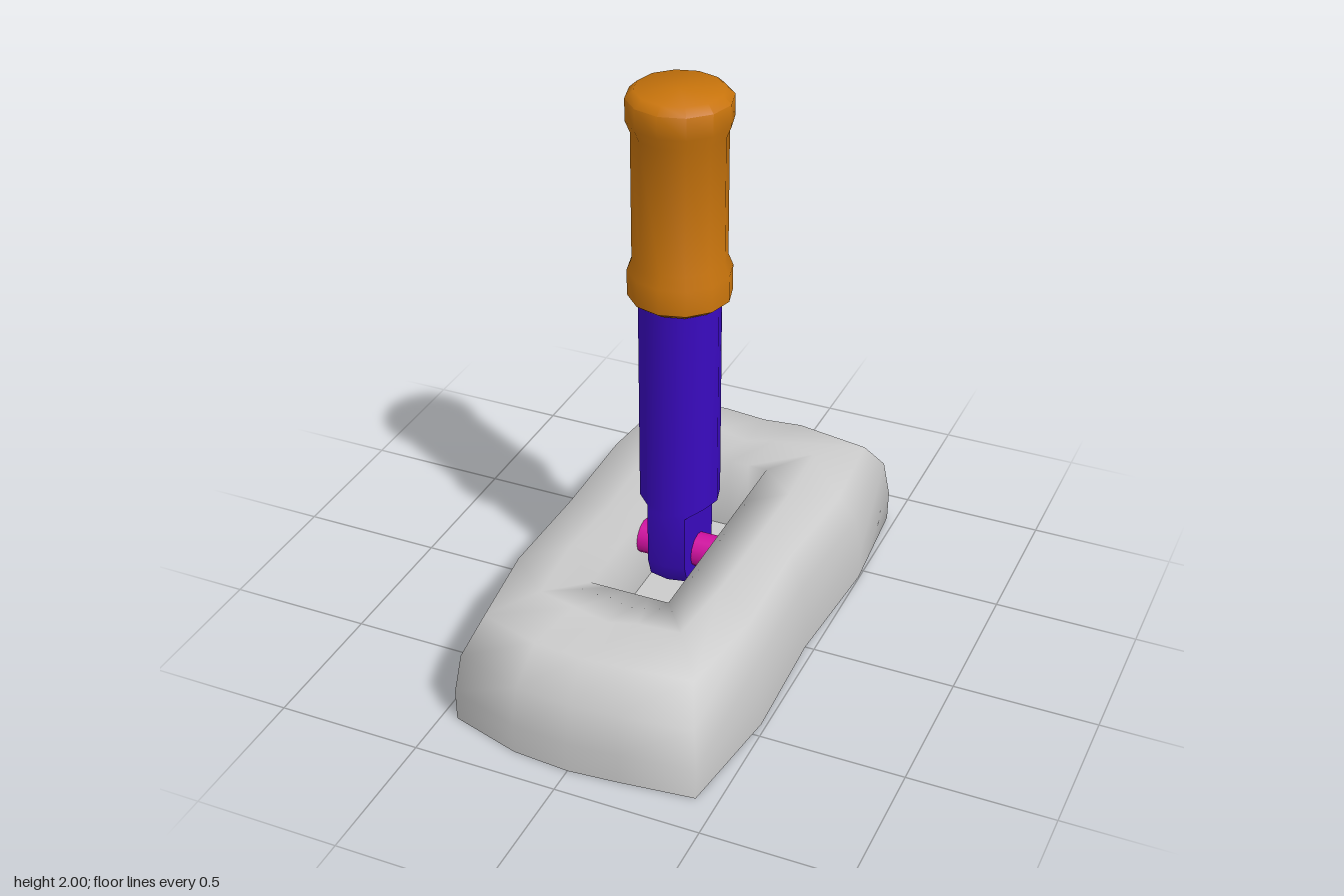
import * as THREE from 'three';
import { toCreasedNormals } from 'three/addons/utils/BufferGeometryUtils.js';

const stone = new THREE.MeshStandardMaterial({ color: 0xcccccc });
const purple = new THREE.MeshStandardMaterial({ color: 0x3a0ac0 });
const orange = new THREE.MeshStandardMaterial({ color: 0xc8740c });
const magenta = new THREE.MeshStandardMaterial({ color: 0xd010a0 });

// Skin a list of closed rings, each an array of [x, y, z]
function loft(rings) {
  const n = rings[0].length;
  const index = [];
  for (let r = 0; r < rings.length - 1; r++) {
    for (let i = 0; i < n; i++) {
      const j = (i + 1) % n;
      const a = r * n + i, b = r * n + j;
      index.push(a, a + n, b, b, a + n, b + n);
    }
  }
  const g = new THREE.BufferGeometry();
  g.setAttribute('position', new THREE.Float32BufferAttribute(rings.flat(2), 3));
  g.setIndex(index);
  g.computeVertexNormals();
  return g;
}

function part(name, geometry, material) {
  const m = new THREE.Mesh(geometry, material);
  m.name = name;
  return m;
}

// Uneven stone outline seen from above, [x, z]
const outline = [
  [-0.46, -0.85], [-0.19, -0.91], [0, -0.89], [0.16, -0.91],
  [0.47, -0.855], [0.5, -0.46], [0.47, 0], [0.485, 0.44],
  [0.43, 0.86], [0.17, 0.89], [0, 0.905], [-0.2, 0.89],
  [-0.45, 0.815], [-0.5, 0.44], [-0.49, 0], [-0.5, -0.46],
];

// Slot outline with the same number of points
const slot = outline.map((p, i) => {
  const side = Math.floor(i / 4), t = (i % 4) / 4;
  const c = [[-0.14, -0.44], [0.14, -0.44], [0.14, 0.42], [-0.14, 0.42]];
  const a = c[side], b = c[(side + 1) % 4];
  return [a[0] + (b[0] - a[0]) * t, a[1] + (b[1] - a[1]) * t];
});

function createBase() {
  const base = new THREE.Group();
  base.name = 'base';
  const ring = (y, sx, sz) => outline.map(([x, z]) => [x * sx, y, z * sz]);
  // Crown between shoulder and slot, dipping at the middle of each side
  const crown = outline.map(([x, z], i) => [
    x * 0.42 + slot[i][0] * 0.5,
    i % 4 === 2 ? 0.375 : 0.395,
    z * 0.42 + slot[i][1] * 0.5,
  ]);
  const flat = (y) => slot.map(([x, z]) => [x, y, z]);
  base.add(part('stone', loft([
    ring(0, 0.995, 1), ring(0.11, 1, 1), ring(0.25, 0.96, 0.975),
    ring(0.365, 0.86, 0.865), crown, flat(0.378), flat(0.1),
  ]), stone));
  base.add(part('slotFloor', loft([flat(0.1), slot.map(() => [0, 0.1, 0])]), stone));
  base.add(part('underside', loft([outline.map(() => [0, 0, 0]), ring(0, 0.995, 1)]), stone));
  return base;
}

function createLever() {
  const lever = new THREE.Group();
  lever.name = 'lever';
  // Twelve-sided ring, with x cut off at a limit to form the flat tang
  const ring = (y, limit, depth = 1) => Array.from({ length: 12 }, (_, i) => {
    const a = (i / 12) * Math.PI * 2;
    const x = THREE.MathUtils.clamp(0.137 * Math.cos(a), -limit, limit);
    return [x, y, 0.137 * Math.sin(a) * depth];
  });
  // Flat tang with a rounded foot, shoulder step and round shaft
  const shaft = loft([
    ring(0.19, 0.068, 0), ring(0.19, 0.068, 0.4), ring(0.22, 0.068, 0.8),
    ring(0.29, 0.068), ring(0.49, 0.068), ring(0.515, 0.14), ring(1.29, 0.14),
  ]);
  lever.add(part('shaft', toCreasedNormals(shaft, 0.8), purple));

  // Grip with a raised band at each end
  const profile = [
    [0, 1.27], [0.145, 1.27], [0.172, 1.29], [0.172, 1.38], [0.156, 1.42],
    [0.156, 1.86], [0.172, 1.9], [0.172, 1.975], [0.145, 2], [0, 2],
  ].map(([x, y]) => new THREE.Vector2(x, y));
  lever.add(part('grip', toCreasedNormals(new THREE.LatheGeometry(profile, 12), 0.9), orange));
  lever.position.set(-0.005, 0, -0.005);
  return lever;
}

export function createModel() {
  const model = new THREE.Group();
  model.name = 'floorLever';
  model.add(createBase(), createLever());
  // Pivot pin across the slot
  const pin = part('pivotPin', new THREE.CylinderGeometry(0.06, 0.06, 0.3, 12), magenta);
  pin.rotation.z = Math.PI / 2;
  pin.position.y = 0.3;
  model.add(pin);
  return model;
}
